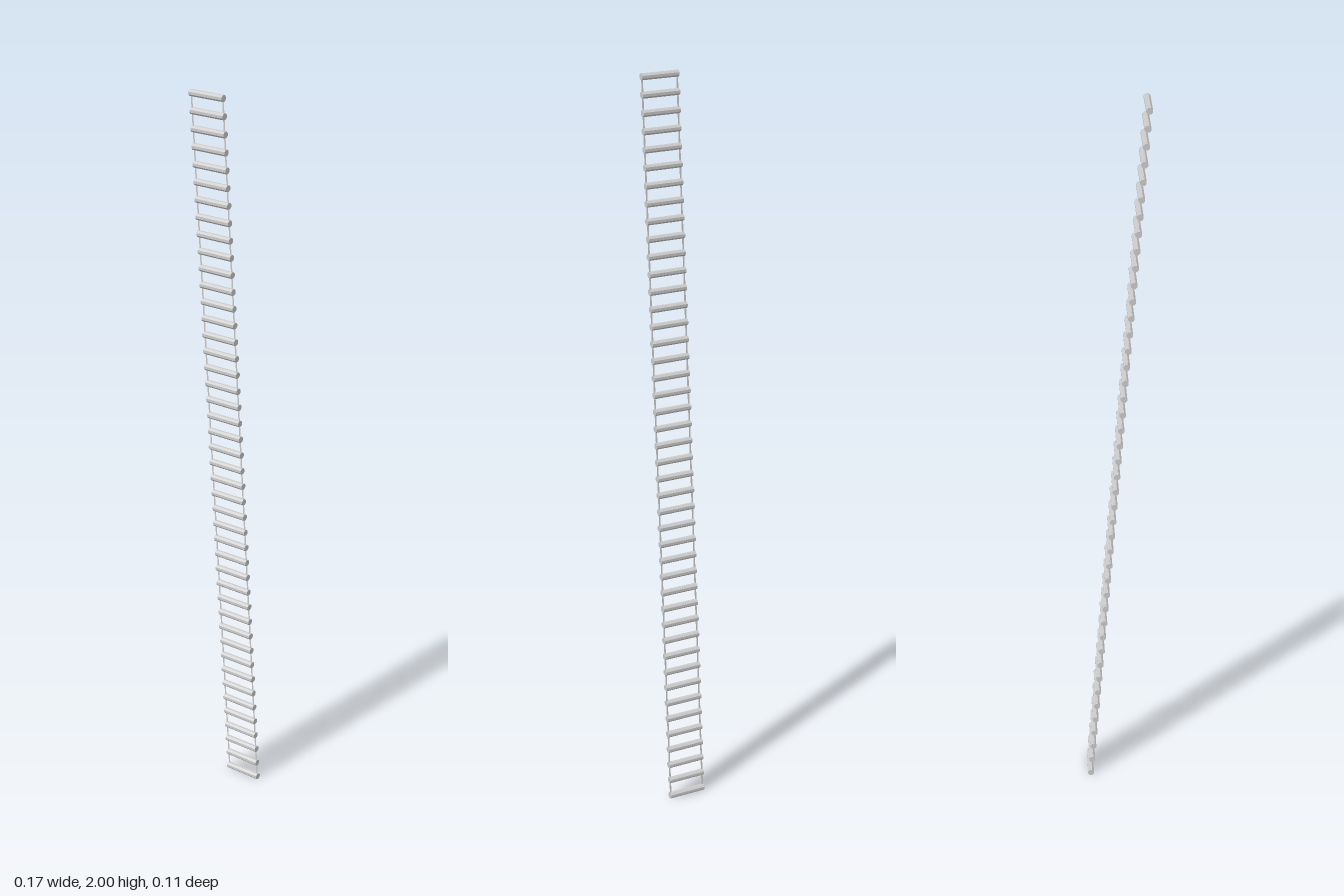
import * as THREE from 'three';

export function createModel() {
  const group = new THREE.Group();
  const material = new THREE.MeshStandardMaterial({
    color: 0xcccccc, flatShading: true, side: THREE.DoubleSide,
  });

  const rungCount = 44;
  const radius = 0.009;
  const halfWidth = 0.053;
  const bottom = new THREE.Vector3(0.0765, radius, 0);
  const top = new THREE.Vector3(-0.0765, 2 - radius, 0);

  // Rungs: short faceted bars stepping up the lean
  const rungGeometry = new THREE.CylinderGeometry(radius, radius, halfWidth * 2, 8);
  rungGeometry.rotateY(Math.PI / 8);
  rungGeometry.rotateX(Math.PI / 2);
  for (let i = 0; i < rungCount; i++) {
    const rung = new THREE.Mesh(rungGeometry, material);
    rung.name = 'rung' + (i + 1);
    rung.position.lerpVectors(bottom, top, i / (rungCount - 1));
    group.add(rung);
  }

  // Side straps: thin flat strips lying in the plane of the ladder
  const lean = Math.atan2(bottom.x - top.x, top.y - bottom.y);
  const strapGeometry = new THREE.PlaneGeometry(0.005, bottom.distanceTo(top));
  strapGeometry.rotateY(Math.PI / 2);
  strapGeometry.rotateZ(lean);
  for (const side of [1, -1]) {
    const strap = new THREE.Mesh(strapGeometry, material);
    strap.name = side > 0 ? 'frontStrap' : 'backStrap';
    strap.position.set(0, 1, side * 0.05);
    group.add(strap);
  }
  return group;
}
